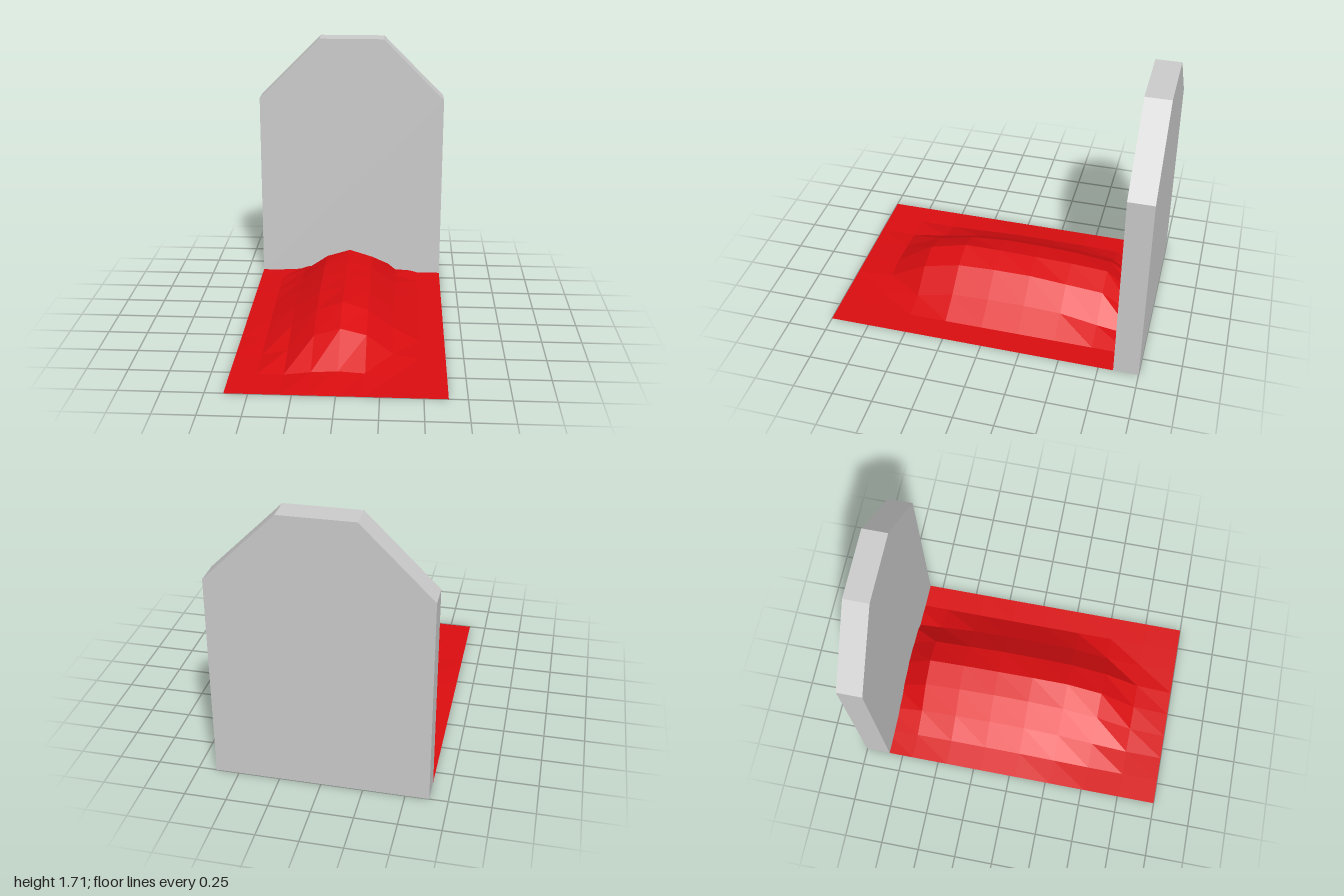
import * as THREE from 'three';

// Mound heights: one row per cross-section from front to back, nine points across in x
const HEIGHTS = [
  [0, 0, 0, 0, 0, 0, 0, 0, 0],
  [0, 0, 0, 0.02, 0.03, 0.02, 0, 0, 0],
  [0, 0, 0.04, 0.14, 0.19, 0.15, 0.03, 0, 0],
  [0, 0.01, 0.09, 0.2, 0.257, 0.21, 0.09, 0, 0],
  [0, 0.02, 0.11, 0.22, 0.258, 0.22, 0.1, 0, 0],
  [0, 0.02, 0.11, 0.22, 0.252, 0.22, 0.1, 0, 0],
  [0, 0.02, 0.1, 0.21, 0.246, 0.2, 0.09, 0, 0],
  [0, 0.01, 0.07, 0.18, 0.23, 0.18, 0.045, 0, 0],
  [0, 0, 0.01, 0.03, 0.04, 0.03, 0.01, 0, 0],
];

// Upright slab with clipped top corners
function createSlab(material) {
  const shape = new THREE.Shape();
  shape.moveTo(-0.64, 0);
  shape.lineTo(0.64, 0);
  shape.lineTo(0.64, 1.285);
  shape.lineTo(0.22, 1.705);
  shape.lineTo(-0.22, 1.705);
  shape.lineTo(-0.64, 1.285);
  shape.closePath();
  const geometry = new THREE.ExtrudeGeometry(shape, { depth: 0.157, bevelEnabled: false });
  const slab = new THREE.Mesh(geometry, material);
  slab.name = 'headstone';
  slab.position.z = -1;
  return slab;
}

// Open low-poly sheet raised into a mound, its back edge tucked into the slab
function createMound(material) {
  const geometry = new THREE.PlaneGeometry(1.28, 1.92, 8, 8);
  geometry.rotateX(-Math.PI / 2);
  geometry.translate(0, 0, 0.04);
  const position = geometry.attributes.position;
  for (let i = 0; i < position.count; i++) {
    const row = 8 - Math.floor(i / 9);
    position.setY(i, HEIGHTS[row][i % 9]);
  }
  const faceted = geometry.toNonIndexed();
  faceted.computeVertexNormals();
  const mound = new THREE.Mesh(faceted, material);
  mound.name = 'mound';
  return mound;
}

export function createModel() {
  const stone = new THREE.MeshStandardMaterial({ color: 0xcccccc });
  stone.name = 'grey stone';
  const red = new THREE.MeshStandardMaterial({ color: 0xdb0d10, flatShading: true, side: THREE.DoubleSide });
  red.name = 'red ground';

  const model = new THREE.Group();
  model.name = 'grave';
  model.add(createSlab(stone), createMound(red));
  return model;
}
